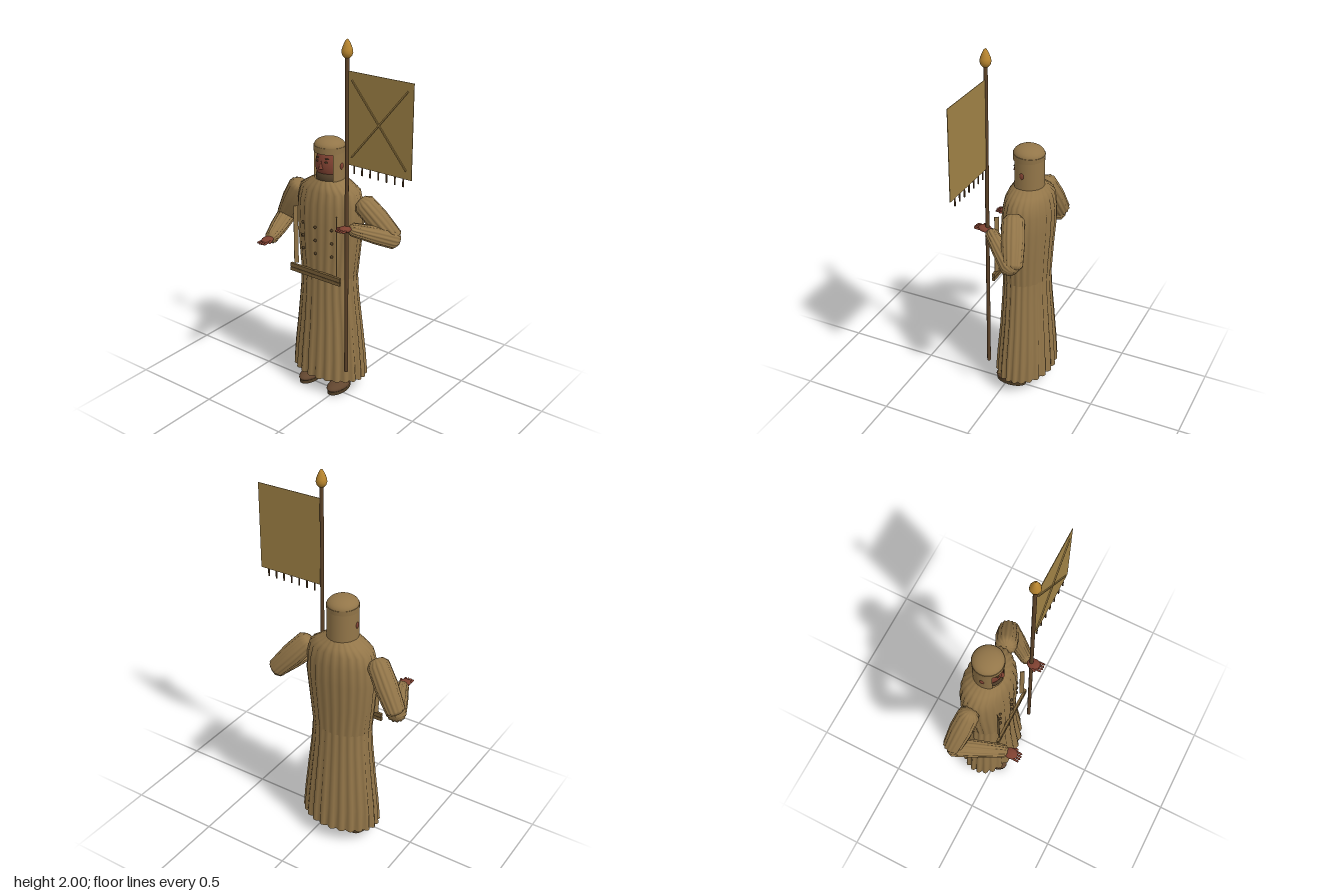
import * as THREE from 'three';

const mat = (name, color, double) => {
  const m = new THREE.MeshStandardMaterial({ color });
  m.name = name;
  if (double) m.side = THREE.DoubleSide;
  return m;
};

// Loft of elliptical rings [y, rx, rz, centreZ, ripple], with soft pleats round it
function loft(rings, lobes, segs = 96) {
  const pos = [], idx = [];
  rings.forEach(([y, rx, rz, cz = 0, ripple = 0], r) => {
    for (let i = 0; i < segs; i++) {
      const a = (i / segs) * Math.PI * 2;
      const k = ripple * (Math.abs(Math.sin((a * lobes) / 2)) - 0.7);
      pos.push(Math.sin(a) * (rx + k), y, cz + Math.cos(a) * (rz + k));
      if (r === 0) continue;
      const j = (i + 1) % segs, lo = (r - 1) * segs, hi = r * segs;
      idx.push(lo + i, lo + j, hi + j, lo + i, hi + j, hi + i);
    }
  });
  const g = new THREE.BufferGeometry();
  g.setAttribute('position', new THREE.Float32BufferAttribute(pos, 3));
  g.setIndex(idx);
  g.computeVertexNormals();
  return g;
}

export function createModel() {
  const model = new THREE.Group();
  model.name = 'standardBearer';
  const M = {
    robe: mat('robe', 0x937649, true),
    flag: mat('flagCloth', 0x9f8145, true),
    skin: mat('skin', 0x7d4030),
    beard: mat('beard', 0x52402a),
    shoe: mat('shoe', 0x62462f),
    pole: mat('poleWood', 0x5c4228),
    gold: mat('gold', 0xb9862f),
    belt: mat('belt', 0x7a6038),
    button: mat('button', 0x4f3d25),
  };
  const add = (name, geo, material, x = 0, y = 0, z = 0, parent = model) => {
    const mesh = new THREE.Mesh(geo, material);
    mesh.name = name;
    mesh.position.set(x, y, z);
    parent.add(mesh);
    return mesh;
  };
  const ball = (name, material, x, y, z, rx, ry, rz, parent = model) => {
    const m = add(name, new THREE.SphereGeometry(1, 24, 16), material, x, y, z, parent);
    m.scale.set(rx, ry, rz);
    return m;
  };
  const UP = new THREE.Vector3(0, 1, 0);
  const between = (mesh, a, b) => {
    mesh.position.copy(a);
    mesh.quaternion.setFromUnitVectors(UP, b.clone().sub(a).normalize());
    return mesh;
  };

  // Pleated coat: skirt and upper body
  const bx = -0.1;
  add('skirt', loft([
    [0.09, 0.222, 0.155, -0.07, 0.018], [0.22, 0.212, 0.147, -0.07, 0.016],
    [0.4, 0.192, 0.133, -0.07, 0.013], [0.58, 0.172, 0.122, -0.067, 0.01],
    [0.72, 0.163, 0.117, -0.066, 0.008],
  ], 24), M.robe, bx);
  add('coatBody', loft([
    [0.69, 0.165, 0.12, -0.066, 0.008], [0.85, 0.182, 0.125, -0.068, 0.008],
    [1.0, 0.195, 0.13, -0.073, 0.008], [1.1, 0.19, 0.127, -0.075, 0.008],
    [1.165, 0.175, 0.115, -0.076, 0.008], [1.195, 0.13, 0.1, -0.073, 0.005],
    [1.225, 0.08, 0.078, -0.07, 0.001],
  ], 24), M.robe, bx);

  // Buttons on the chest
  for (const y of [0.98, 0.905, 0.83]) {
    for (const dx of [-0.095, 0, 0.095]) {
      ball('button', M.button, bx + dx, y, -0.07 + 0.128 * Math.sqrt(1 - (dx / 0.188) ** 2), 0.008, 0.008, 0.007);
    }
  }

  // Flat belt and the two front straps
  for (const y of [0.698, 0.722]) add('belt', new THREE.BoxGeometry(0.33, 0.019, 0.014), M.belt, bx, y, 0.058);
  add('beltInset', new THREE.BoxGeometry(0.325, 0.01, 0.01), M.button, bx, 0.71, 0.058);
  for (const s of [-1, 1]) {
    const strap = add('strap', new THREE.BoxGeometry(0.024, 0.33, 0.004), M.robe, bx + s * 0.135, 0.9, 0.05);
    strap.rotation.y = -s * 0.9;
  }

  // Head, beard, hood and cap
  const hx = bx, hz = -0.068;
  ball('head', M.skin, hx, 1.3, hz, 0.073, 0.1, 0.075);
  ball('beard', M.beard, hx, 1.237, -0.045, 0.062, 0.052, 0.052);
  const nose = add('nose', new THREE.ConeGeometry(0.014, 0.045, 12), M.skin, hx, 1.31, 0.003);
  nose.scale.z = 1.1;
  for (const s of [-1, 1]) {
    ball('eye', M.button, hx + s * 0.028, 1.325, -0.0025, 0.008, 0.005, 0.006);
    ball('brow', M.beard, hx + s * 0.028, 1.342, -0.008, 0.015, 0.004, 0.006);
    ball('ear', M.skin, hx + s * 0.08, 1.3, -0.064, 0.008, 0.018, 0.012);
  }
  add('hood', new THREE.CylinderGeometry(0.081, 0.082, 0.2, 48, 1, true, 0.88, Math.PI * 2 - 1.76), M.robe, hx, 1.295, hz);
  const cap = new THREE.Group();
  cap.name = 'cap';
  cap.position.set(hx, 1.382, hz);
  model.add(cap);
  add('capBand', new THREE.CylinderGeometry(0.083, 0.081, 0.034, 48), M.robe, 0, 0, 0, cap);
  const dome = add('capDome', new THREE.SphereGeometry(0.081, 48, 12, 0, Math.PI * 2, 0, Math.PI / 2), M.robe, 0, 0.015, 0, cap);
  dome.scale.y = 0.54;
  cap.rotation.x = -0.04;

  // Sleeves between joints, gathered along their length
  const sleeve = (name, a, b, r0, rm, r1) => {
    const L = a.distanceTo(b);
    const rings = [
      [-0.03, 0.001, 0.001], [-0.024, r0 * 0.6, r0 * 0.6, 0, 0.003], [0, r0, r0, 0, 0.006],
      [L * 0.45, rm, rm, 0, 0.006], [L, r1, r1, 0, 0.006],
      [L + 0.016, r1 * 0.65, r1 * 0.65, 0, 0.002], [L + 0.02, 0.001, 0.001],
    ];
    between(add(name, loft(rings, 14, 56), M.robe), a, b);
  };
  // Palm, four fingers and thumb, pointing forward
  const hand = (name, x, y, z, tilt, thumbSide) => {
    const g = new THREE.Group();
    g.name = name;
    g.position.set(x, y, z);
    g.rotation.x = tilt;
    model.add(g);
    ball('palm', M.skin, 0, 0, 0, 0.03, 0.016, 0.036, g);
    for (let i = 0; i < 4; i++) {
      const len = i === 0 || i === 3 ? 0.024 : 0.03;
      const f = add('finger', new THREE.CapsuleGeometry(0.0058, len, 4, 10), M.skin, (i - 1.5) * 0.014, -0.002, 0.036, g);
      f.rotation.x = Math.PI / 2;
    }
    const t = add('thumb', new THREE.CapsuleGeometry(0.007, 0.024, 4, 10), M.skin, thumbSide * 0.028, 0, 0.008, g);
    t.rotation.set(Math.PI / 2, 0, -thumbSide * 0.4);
  };
  const V = (x, y, z) => new THREE.Vector3(x, y, z);
  sleeve('rightUpperArm', V(-0.31, 1.125, -0.075), V(-0.437, 0.915, -0.11), 0.056, 0.06, 0.05);
  sleeve('rightForearm', V(-0.44, 0.9, -0.11), V(-0.335, 0.885, 0.135), 0.05, 0.046, 0.034);
  hand('rightHand', -0.331, 0.886, 0.172, 0.05, 1);
  sleeve('leftUpperArm', V(0.11, 1.12, -0.08), V(0.255, 0.945, -0.145), 0.056, 0.06, 0.05);
  sleeve('leftForearm', V(0.262, 0.94, -0.14), V(0.125, 1.02, 0.035), 0.05, 0.046, 0.034);
  hand('leftHand', 0.11, 1.032, 0.078, -0.1, -1);

  // Trouser legs and shoes
  for (const s of [-1, 1]) {
    const x = bx + s * 0.098;
    add('leg', new THREE.CylinderGeometry(0.05, 0.042, 0.3, 24), M.robe, x, 0.19, -0.065);
    ball('shoe', M.shoe, x, 0.03, -0.02, 0.05, 0.025, 0.092);
    add('sole', new THREE.CylinderGeometry(1, 1, 1, 32), M.button, x, 0.01, -0.02).scale.set(0.046, 0.02, 0.086);
    ball('ankle', M.shoe, x, 0.04, -0.065, 0.044, 0.028, 0.045);
  }

  // Pole with its gilded point
  const px = 0.11, pz = 0.065;
  add('pole', new THREE.CylinderGeometry(0.01, 0.01, 1.72, 16), M.pole, px, 1.055, pz);
  const tip = [[0, 0], [0.014, 0], [0.024, 0.012], [0.028, 0.026], [0.026, 0.042], [0.016, 0.068], [0.007, 0.085], [0, 0.09]];
  add('polePoint', new THREE.LatheGeometry(tip.map(([r, y]) => new THREE.Vector2(r, y)), 24), M.gold, px, 1.91, pz);

  // Flag with raised diagonal cords and a fringe
  const x0 = 0.115, x1 = 0.49, y0 = 1.378, y1 = 1.848;
  const cx = (x0 + x1) / 2, cy = (y0 + y1) / 2;
  add('flag', new THREE.BoxGeometry(x1 - x0, y1 - y0, 0.003), M.flag, cx, cy, pz);
  for (const s of [-1, 1]) {
    const cord = add('flagCord', new THREE.BoxGeometry(0.007, 0.5, 0.007), M.flag, cx - 0.003, cy, pz + 0.004);
    cord.rotation.z = s * 0.69;
  }
  for (let i = 0; i < 7; i++) {
    add('fringe', new THREE.CylinderGeometry(0.0045, 0.0045, 0.042, 8), M.pole, 0.155 + i * 0.048, y0 - 0.02, pz);
  }
  return model;
}
